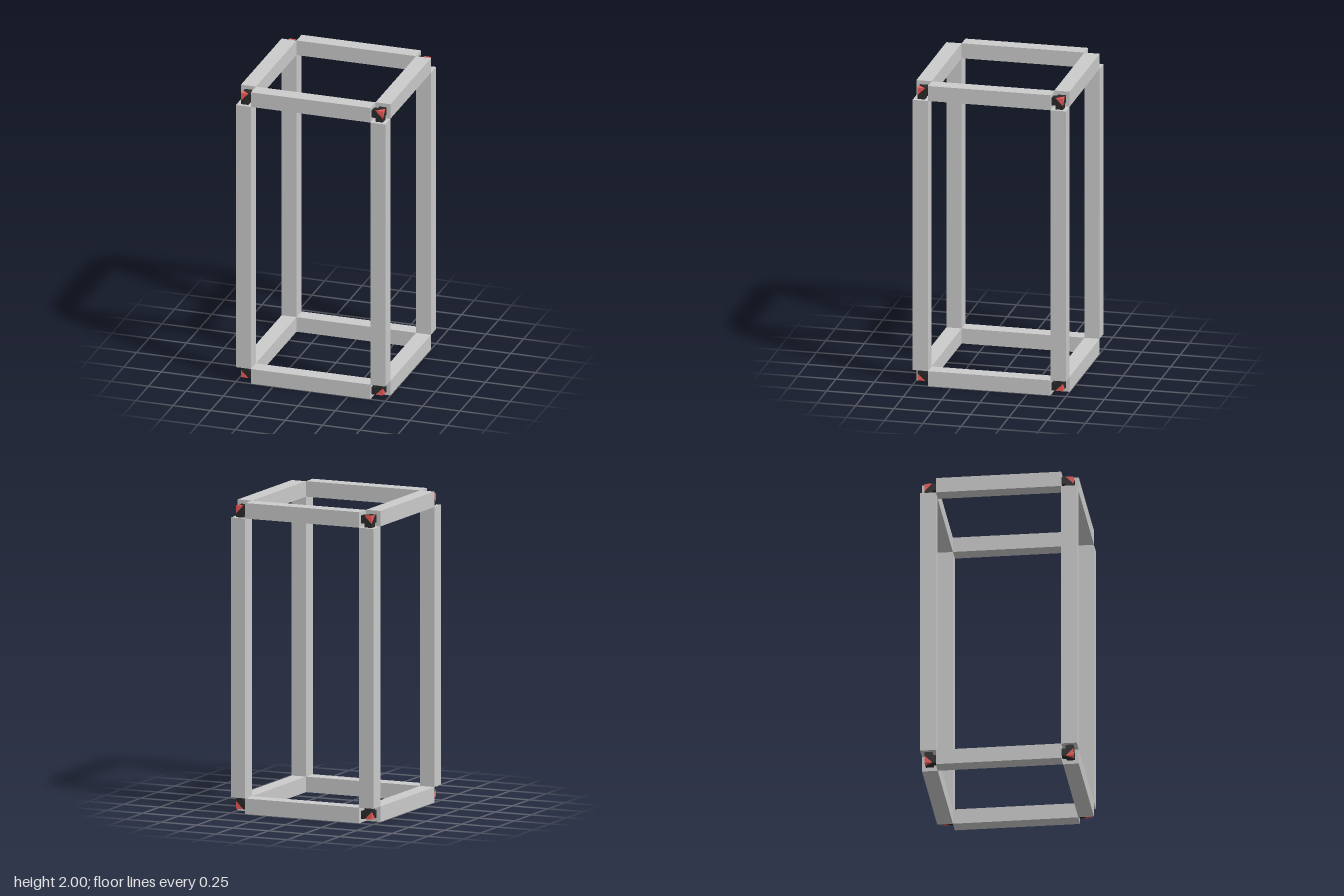
import * as THREE from 'three';
import { ConvexGeometry } from 'three/addons/geometries/ConvexGeometry.js';

const W = 0.5, H = 1;   // half width and half height of the frame
const T = 0.1;          // beam thickness
const A = 0.025, B = 0.075; // hub extent, measured from the inner corner

const beamMat = new THREE.MeshStandardMaterial({ color: 0xcccccc });
const blackMat = new THREE.MeshStandardMaterial({ color: 0x2a2a2a });
const redMat = new THREE.MeshStandardMaterial({ color: 0xf05a58 });

function add(parent, name, geometry, material, x = 0, y = 0, z = 0) {
  const mesh = new THREE.Mesh(geometry, material);
  mesh.name = name;
  mesh.position.set(x, y, z);
  parent.add(mesh);
  return mesh;
}

const hull = (points) => new ConvexGeometry(points.map((p) => new THREE.Vector3(...p)));

// Corner connector: truncated cube hub, three arms into the beam ends, red tip
function makeConnector() {
  const connector = new THREE.Group();
  connector.name = 'cornerConnector';
  const cut = [[A, B, B], [B, A, B], [B, B, A]];
  add(connector, 'hub', hull([[A, A, A], [B, A, A], [A, B, A], [A, A, B], ...cut]), blackMat);
  add(connector, 'cornerTip', hull([[B, B, B], ...cut]), redMat);
  const mid = (A + B) / 2, w = B - A;
  for (let axis = 0; axis < 3; axis++) {
    const size = [w, w, w], pos = [mid, mid, mid];
    size[axis] = A;
    pos[axis] = A / 2;
    add(connector, 'connectorArm', new THREE.BoxGeometry(...size), blackMat, ...pos);
  }
  return connector;
}

export function createModel() {
  const model = new THREE.Group();
  model.name = 'boxFrame';
  const c = W - T / 2; // beam centre line
  const span = 2 * (W - T);
  const postGeo = new THREE.BoxGeometry(T, 2 * (H - T), T);
  const crossGeo = new THREE.BoxGeometry(span, T, T);
  const sideGeo = new THREE.BoxGeometry(T, T, span);

  for (const s of [-1, 1]) {
    for (const t of [-1, 1]) {
      add(model, 'post', postGeo, beamMat, s * c, H, t * c);
      const y = H + t * (H - T / 2);
      add(model, 'crossBeam', crossGeo, beamMat, 0, y, s * c);
      add(model, 'sideBeam', sideGeo, beamMat, s * c, y, 0);
    }
  }

  // One connector turned into each of the eight corners
  for (const flip of [0, Math.PI]) {
    for (let i = 0; i < 4; i++) {
      const corner = new THREE.Group();
      corner.name = flip ? 'bottomCorner' : 'topCorner';
      const connector = makeConnector();
      connector.position.set(W - T, H - T, W - T);
      corner.add(connector);
      corner.rotation.set(flip, i * Math.PI / 2, 0, 'YXZ');
      corner.position.y = H;
      model.add(corner);
    }
  }
  return model;
}
